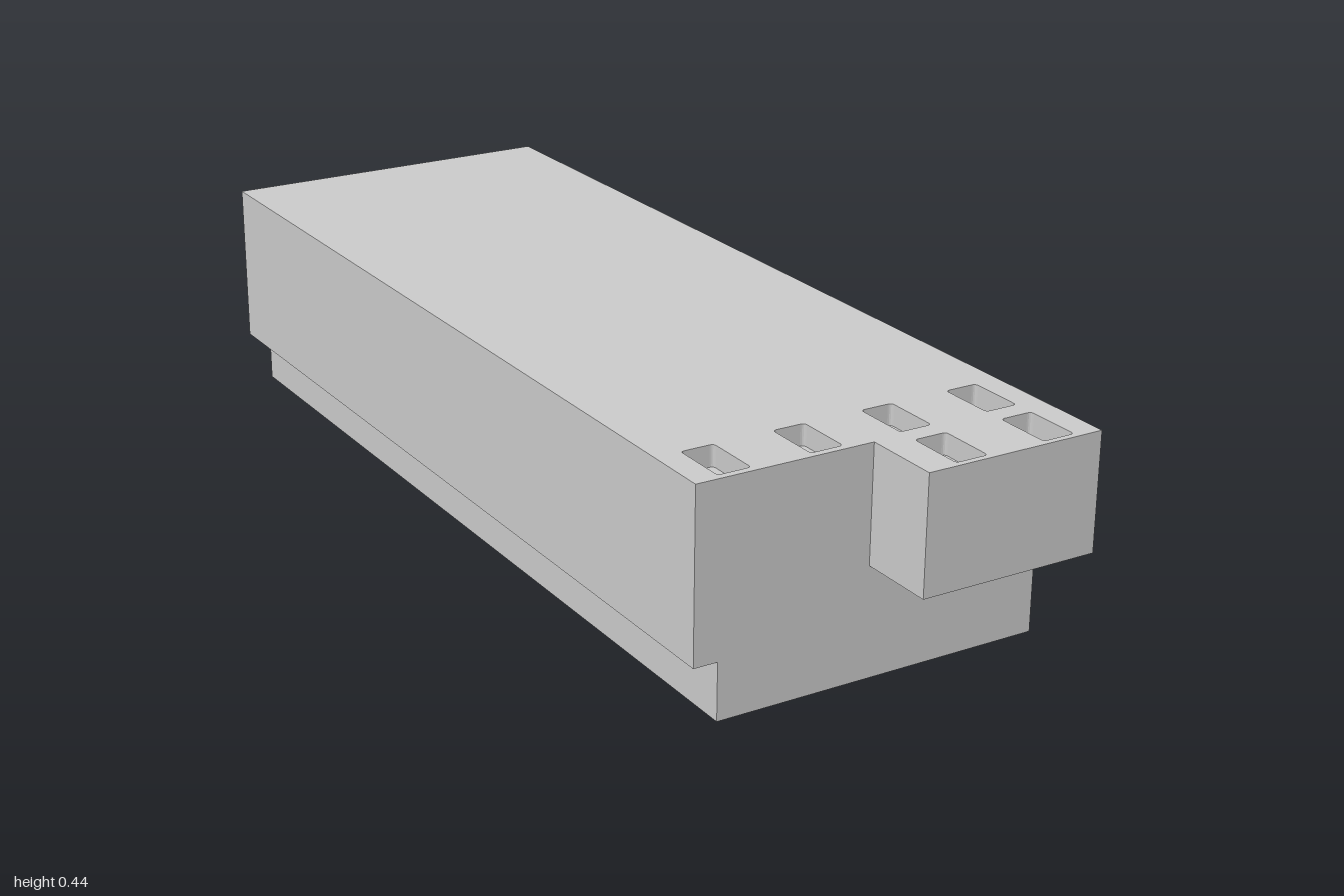
import * as THREE from 'three';

const W = 0.352, H = 0.438, BACK = -1, STEP = 0.85, FRONT = 1;
const SLOT_DEPTH = 0.04, FLOOR = H - SLOT_DEPTH;
const TAB_X = -0.005, TAB_Y = 0.213;

const outline = (points) => new THREE.Shape(points.map(([x, y]) => new THREE.Vector2(x, y)));

// Rounded rectangular opening centred on (cx, cz)
function slotPath(cx, cz, w = 0.064, l = 0.112, r = 0.008) {
  const p = new THREE.Path();
  const x0 = cx - w / 2, x1 = cx + w / 2, z0 = cz - l / 2, z1 = cz + l / 2;
  p.moveTo(x0 + r, z0);
  p.lineTo(x1 - r, z0);
  p.quadraticCurveTo(x1, z0, x1, z0 + r);
  p.lineTo(x1, z1 - r);
  p.quadraticCurveTo(x1, z1, x1 - r, z1);
  p.lineTo(x0 + r, z1);
  p.quadraticCurveTo(x0, z1, x0, z1 - r);
  p.lineTo(x0, z0 + r);
  p.quadraticCurveTo(x0, z0, x0 + r, z0);
  return p;
}

export function createModel() {
  const group = new THREE.Group();
  const material = new THREE.MeshStandardMaterial({ color: 0xcccccc });
  const add = (name, geometry) => {
    const mesh = new THREE.Mesh(geometry, material);
    mesh.name = name;
    group.add(mesh);
  };

  // Main body: front profile with the rebate along its lower -x edge
  const profile = outline([
    [-0.305, 0], [W, 0], [W, FLOOR], [-W, FLOOR], [-W, 0.11], [-0.305, 0.11],
  ]);
  const body = new THREE.ExtrudeGeometry(profile, { depth: STEP - BACK, bevelEnabled: false });
  body.translate(0, 0, BACK);
  add('body', body);

  // Overhanging front tab, up to the slot floors
  const tab = new THREE.BoxGeometry(W - TAB_X, FLOOR - TAB_Y, FRONT - STEP);
  tab.translate((W + TAB_X) / 2, (FLOOR + TAB_Y) / 2, (FRONT + STEP) / 2);
  add('frontTab', tab);

  // Top layer over body and tab, pierced by the slots
  const top = outline([
    [-W, BACK], [W, BACK], [W, FRONT], [TAB_X, FRONT], [TAB_X, STEP], [-W, STEP],
  ]);
  for (const x of [-0.27, -0.09, 0.09, 0.27]) {
    top.holes.push(slotPath(x, 0.78));
    if (x > 0) top.holes.push(slotPath(x, 0.932));
  }
  const topLayer = new THREE.ExtrudeGeometry(top, { depth: SLOT_DEPTH, bevelEnabled: false, curveSegments: 4 });
  topLayer.rotateX(Math.PI / 2);
  topLayer.translate(0, H, 0);
  add('slottedTop', topLayer);

  return group;
}
